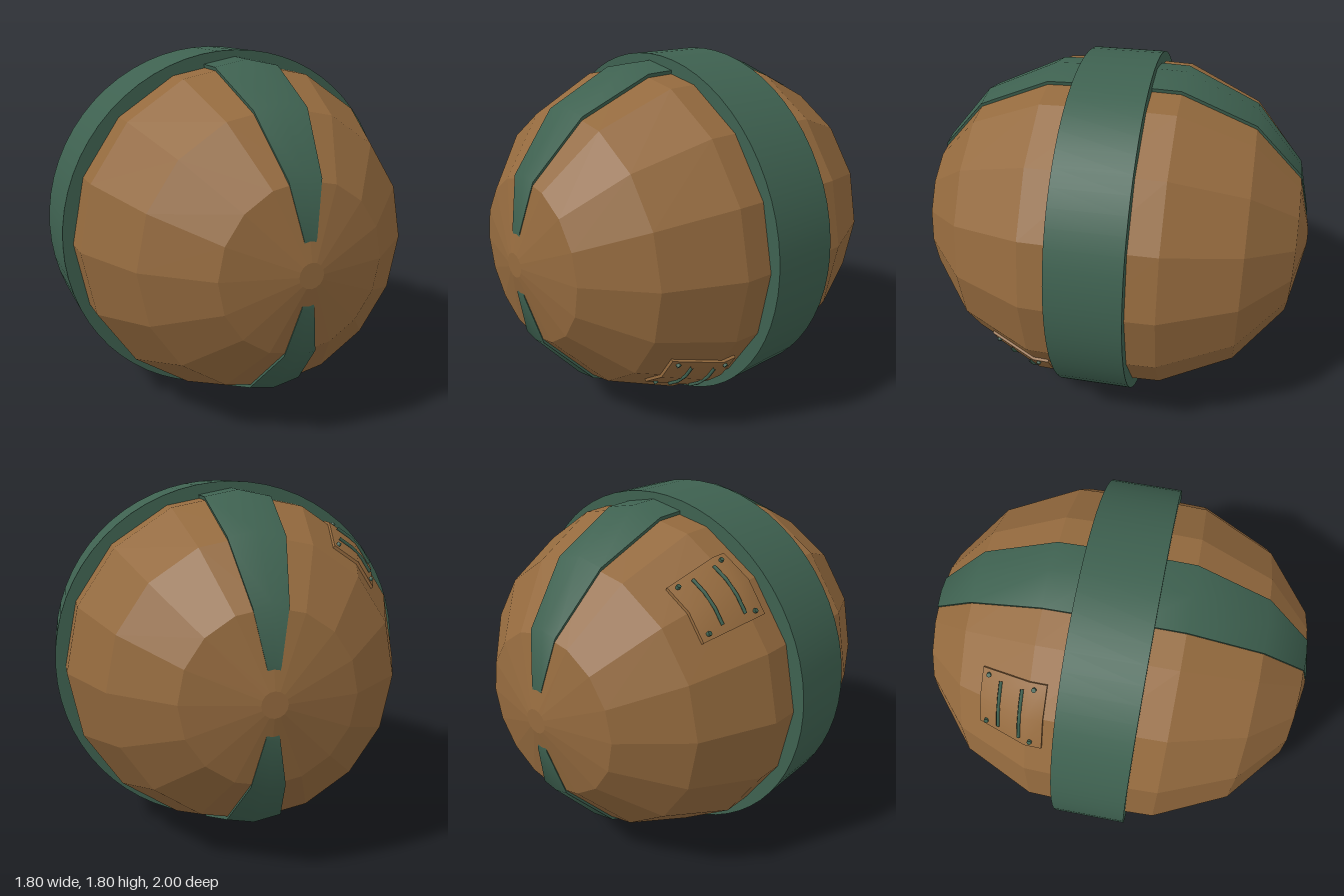
import * as THREE from 'three';
import { toCreasedNormals } from 'three/addons/utils/BufferGeometryUtils.js';

// Radius of the faceted shell at distance z from the middle
const PROFILE = [[0, 0.855], [0.32, 0.845], [0.68, 0.68], [0.92, 0.4], [1, 0.06]];
function shellRadius(z) {
  for (let i = 1; i < PROFILE.length; i++) {
    const [z0, r0] = PROFILE[i - 1], [z1, r1] = PROFILE[i];
    if (z <= z1) return r0 + (r1 - r0) * (z - z0) / (z1 - z0);
  }
  return 0;
}
const HALF = Math.PI / 16; // half of one facet

// Point on the faceted shell near a ridge; a = angle off the ridge
function onShell(ridge, a, z, lift) {
  const r = (shellRadius(z) + lift) * Math.cos(HALF) / Math.cos(HALF - Math.abs(a));
  return new THREE.Vector3(r * Math.cos(ridge + a), r * Math.sin(ridge + a), z);
}

// Plate folded over a ridge of the shell, through z stations from high to low
function foldedPlate(ridge, stations, lift) {
  const pos = [];
  const quad = (a, b, c, d) => [a, c, b, a, d, c].forEach(p => pos.push(p.x, p.y, p.z));
  const rows = stations.map(z => {
    const at = l => [-HALF, 0, HALF].map(a => onShell(ridge, a, z, l));
    return { out: at(lift), inn: at(-0.01) };
  });
  for (let i = 0; i < rows.length - 1; i++) {
    const p = rows[i], q = rows[i + 1];
    for (let j = 0; j < 2; j++) quad(p.out[j], p.out[j + 1], q.out[j + 1], q.out[j]);
    quad(p.inn[0], p.out[0], q.out[0], q.inn[0]);
    quad(p.out[2], p.inn[2], q.inn[2], q.out[2]);
  }
  const first = rows[0], last = rows[rows.length - 1];
  for (let j = 0; j < 2; j++) {
    quad(first.inn[j], first.inn[j + 1], first.out[j + 1], first.out[j]);
    quad(last.out[j], last.out[j + 1], last.inn[j + 1], last.inn[j]);
  }
  const g = new THREE.BufferGeometry();
  g.setAttribute('position', new THREE.Float32BufferAttribute(pos, 3));
  return toCreasedNormals(g, 0.6);
}

export function createModel() {
  const brown = new THREE.MeshStandardMaterial({ color: 0x946a3e });
  brown.name = 'brown shell';
  const green = new THREE.MeshStandardMaterial({ color: 0x3e6150 });
  green.name = 'green trim';

  const model = new THREE.Group();
  const body = new THREE.Group();
  body.name = 'ball';
  body.position.y = 0.9;
  model.add(body);
  const add = (parent, name, geometry, material) => {
    const m = new THREE.Mesh(geometry, material);
    m.name = name;
    parent.add(m);
    return m;
  };

  // Faceted shell, turned around the z axis
  const half = PROFILE.map(([z, r]) => new THREE.Vector2(r, z));
  half.push(new THREE.Vector2(0, 1));
  const mirrored = half.slice(1).reverse().map(p => new THREE.Vector2(p.x, -p.y));
  const shell = new THREE.LatheGeometry([...mirrored, ...half], 16).toNonIndexed();
  shell.rotateX(Math.PI / 2);
  shell.computeVertexNormals();
  add(body, 'shell', shell, brown);

  // Wide band around the middle
  const band = new THREE.CylinderGeometry(0.9, 0.9, 0.36, 64);
  band.rotateX(Math.PI / 2);
  add(body, 'band', band, green);

  // Four tapering straps, top and bottom, front and back
  for (const turn of [0, Math.PI]) {
    for (const ridge of [Math.PI / 2, -Math.PI / 2]) {
      const strap = add(body, 'strap',
        foldedPlate(ridge, [0.979, 0.92, 0.68, 0.32, 0.1], 0.018), green);
      strap.rotation.y = turn;
    }
  }

  // Riveted hatch with two bent handles
  const makeHatch = () => {
    const hatch = new THREE.Group();
    hatch.name = 'hatch';
    const ridge = -Math.PI / 4;
    add(hatch, 'hatchPlate', foldedPlate(ridge, [0.56, 0.32, 0.24], 0.014), brown);
    for (const z of [0.46, 0.35]) {
      const path = new THREE.CurvePath();
      const pts = [-0.15, -0.05, 0.05, 0.15].map(a => onShell(ridge, a, z, 0.022));
      for (let i = 0; i < 3; i++) path.add(new THREE.LineCurve3(pts[i], pts[i + 1]));
      add(hatch, 'handle', new THREE.TubeGeometry(path, 12, 0.008, 6), green);
    }
    for (const z of [0.525, 0.295]) {
      for (const a of [-0.16, 0.16]) {
        const rivet = add(hatch, 'rivet', new THREE.CylinderGeometry(0.011, 0.011, 0.02, 8), green);
        rivet.position.copy(onShell(ridge, a, z, 0.016));
        rivet.rotation.z = ridge + a - Math.PI / 2;
      }
    }
    return hatch;
  };
  body.add(makeHatch());
  // Second hatch on the opposite side: half turn about the diagonal axis
  const second = makeHatch();
  second.quaternion.setFromAxisAngle(new THREE.Vector3(1, 1, 0).normalize(), Math.PI);
  body.add(second);

  return model;
}
